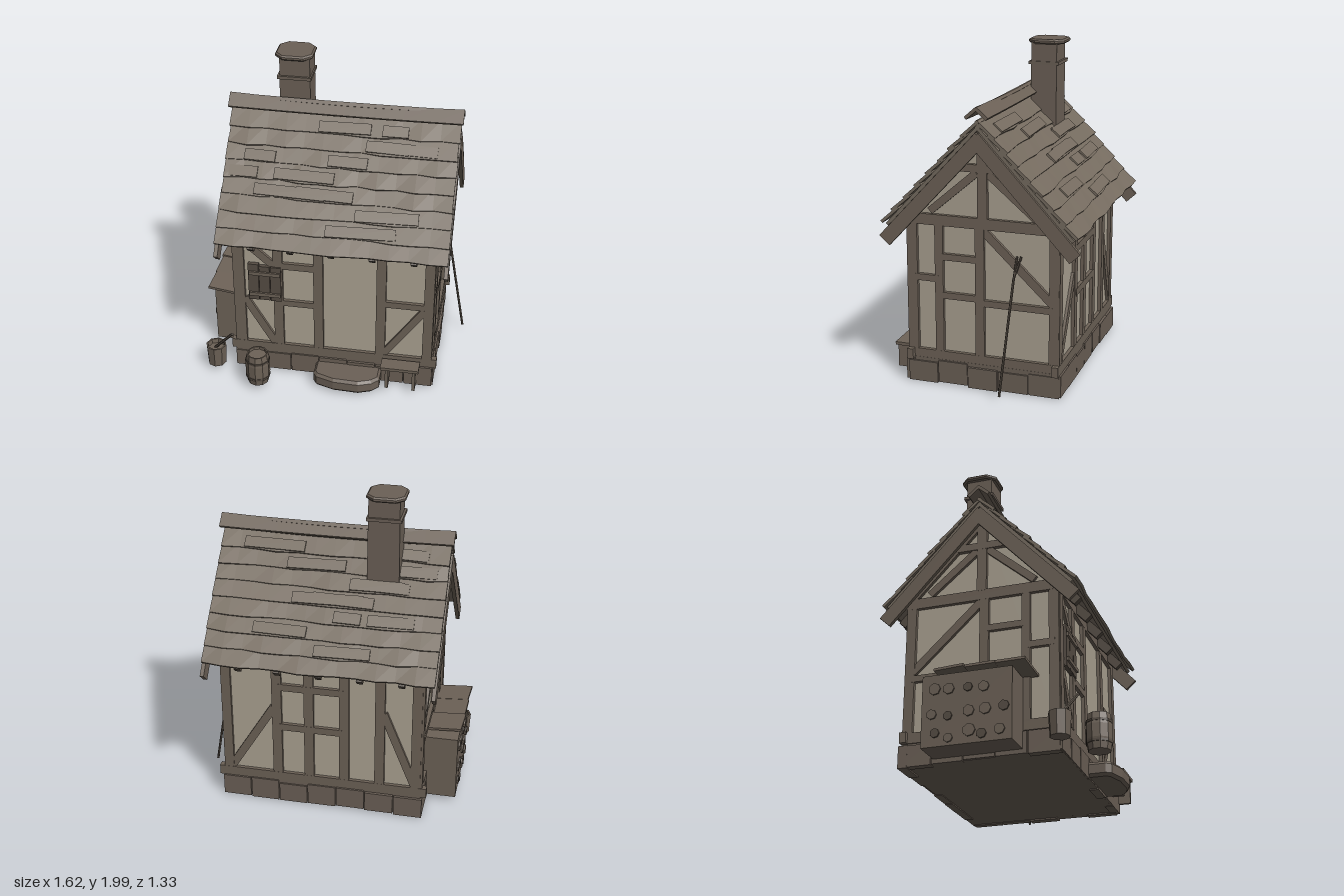
import * as THREE from 'three';

const mat = (name, color) => Object.assign(new THREE.MeshStandardMaterial({ color }), { name });
const plaster = mat('plaster', 0xaba292);
const timber = mat('timber', 0x6d6257);
const roofWood = mat('roofWood', 0x766c60);
const stone = mat('stone', 0x6b6056);
const darkWood = mat('darkWood', 0x564d44);

let seed = 7;
const rnd = () => (seed = (seed * 16807) % 2147483647) / 2147483647;
const jit = (a) => (rnd() - 0.5) * 2 * a;
const V = (x, y, z) => new THREE.Vector3(x, y, z);

// faceted normals for the low-poly look
function facet(g) {
  const n = g.index ? g.toNonIndexed() : g;
  n.computeVertexNormals();
  return n;
}
function add(parent, name, geo, material, x = 0, y = 0, z = 0) {
  const m = new THREE.Mesh(facet(geo), material);
  m.name = name;
  m.position.set(x, y, z);
  parent.add(m);
  return m;
}
// box given by its limits
function box(parent, name, material, x0, x1, y0, y1, z0, z1) {
  return add(parent, name, new THREE.BoxGeometry(x1 - x0, y1 - y0, z1 - z0), material,
    (x0 + x1) / 2, (y0 + y1) / 2, (z0 + z1) / 2);
}
// thin round rod between two points
function rod(parent, name, material, a, b, r) {
  const d = b.clone().sub(a);
  const m = add(parent, name, new THREE.CylinderGeometry(r, r, d.length(), 6), material);
  m.position.copy(a).addScaledVector(d, 0.5);
  m.quaternion.setFromUnitVectors(V(0, 1, 0), d.normalize());
}
// timbers on a wall plane: [u1, v1, u2, v2, width]
function frame(parent, name, angle, pos, list, s = 1) {
  const g = new THREE.Group();
  g.name = name;
  g.rotation.y = angle;
  g.position.copy(pos);
  list.forEach(([u1, v1, u2, v2, w], i) => {
    const du = (u2 - u1) * s, dv = v2 - v1;
    const depth = Math.abs(du) > 0.01 && Math.abs(dv) > 0.01 ? 0.03 : 0.04;
    const m = add(g, 'beam', new THREE.BoxGeometry(Math.hypot(du, dv), w, depth), timber,
      s * (u1 + u2) / 2, (v1 + v2) / 2, i * 0.0002);
    m.rotation.z = Math.atan2(dv, du);
  });
  parent.add(g);
}

// one roof slope: local z runs down from the ridge, y points outwards
function slope(parent, back) {
  const g = new THREE.Group();
  g.name = back ? 'backRoof' : 'frontRoof';
  g.position.set(0.0225, 1.66, -0.055);
  g.rotation.order = 'YXZ';
  g.rotation.set(0.825, back ? Math.PI : 0, 0);
  box(g, 'roofDeck', roofWood, -0.695, 0.695, -0.04, -0.02, 0.02, 0.87);
  const rows = 8;
  for (let i = 0; i < rows; i++) {
    const geo = new THREE.BoxGeometry(1.4 + jit(0.008), 0.018, 0.145, 12, 1, 1);
    const p = geo.attributes.position;
    const wave = Array.from({ length: 13 }, () => jit(0.008));
    for (let k = 0; k < p.count; k++) {
      const x = p.getX(k);
      const w = wave[Math.max(0, Math.min(12, Math.round((x / 1.4 + 0.5) * 12)))];
      if (p.getZ(k) > 0) p.setZ(k, p.getZ(k) + w);
      p.setY(k, p.getY(k) - 0.009 * (1 - (x / 0.7) ** 2) + (p.getZ(k) > 0 ? w * 0.5 : 0));
    }
    const m = add(g, 'shingleRow', geo, roofWood, 0, -0.004, 0.07 + i * 0.1055);
    m.rotation.x = -0.1;
  }
  // loose thin boards between the rows
  for (let i = 0; i < 12; i++) {
    const len = 0.15 + rnd() * 0.3;
    const m = add(g, 'looseShingle', new THREE.BoxGeometry(len, 0.012, 0.07), roofWood,
      jit(0.68 - len / 2), 0.006, 0.1 + (i % 7) * 0.1055);
    m.rotation.set(-0.1, jit(0.03), 0);
  }
  for (const s of [-1, 1]) {
    box(g, 'bargeboard', timber, s * 0.695 - 0.012, s * 0.695 + 0.012, -0.127, -0.042, 0.06, 0.95);
  }
  for (const x of [-0.49, -0.25, 0, 0.25, 0.5]) {
    box(g, 'rafterTail', darkWood, x - 0.018, x + 0.018, -0.095, -0.04, 0.55, 0.885);
  }
  parent.add(g);
  // ridge cap board, sagging in the middle
  const cap = new THREE.BoxGeometry(1.43, 0.02, 0.09, 8, 1, 1);
  const cp = cap.attributes.position;
  for (let k = 0; k < cp.count; k++) cp.setY(k, cp.getY(k) - 0.014 * (1 - (cp.getX(k) / 0.715) ** 2));
  const c = add(parent, 'ridgeCap', cap, timber, 0.0225, 1.7, -0.055 + (back ? -0.031 : 0.031));
  c.rotation.order = 'YXZ';
  c.rotation.set(0.72, back ? Math.PI : 0, 0);
}

export function createModel() {
  const model = new THREE.Group();
  model.name = 'cottage';

  // stone foundation with uneven blocks
  box(model, 'foundation', stone, -0.6, 0.65, 0.015, 0.16, -0.53, 0.42);
  const course = (n, place) => {
    for (let i = 0; i < n; i++) place(i / n, (i + 0.97) / n, 0.006 + rnd() * 0.012, 0.005 + rnd() * 0.015, 0.125 + rnd() * 0.03);
  };
  for (const [z0, s] of [[0.42, 1], [-0.53, -1]]) {
    course(7, (a, b, d, y0, y1) => box(model, 'stoneBlock', stone, -0.61 + a * 1.27, -0.61 + b * 1.27, y0, y1,
      Math.min(z0 - s * 0.04, z0 + s * d), Math.max(z0 - s * 0.04, z0 + s * d)));
  }
  for (const [x0, s] of [[0.65, 1], [-0.6, -1]]) {
    course(5, (a, b, d, y0, y1) => box(model, 'stoneBlock', stone, Math.min(x0 - s * 0.04, x0 + s * d), Math.max(x0 - s * 0.04, x0 + s * d),
      y0, y1, -0.53 + a * 0.95, -0.53 + b * 0.95));
  }

  // plaster body with gables
  const prof = new THREE.Shape([[-0.4, 0.15], [0.51, 0.15], [0.51, 1.05], [0.055, 1.55], [-0.4, 1.05]]
    .map(([u, v]) => new THREE.Vector2(u, v)));
  const body = add(model, 'plasterWalls', new THREE.ExtrudeGeometry(prof, { depth: 1.21, bevelEnabled: false }), plaster, -0.585);
  body.rotation.y = Math.PI / 2;

  // timber framing
  const posts = (...xs) => xs.map((x) => [x, 0.2, x, 1.03, 0.06]);
  frame(model, 'frontFrame', 0, V(0, 0, 0.4), [
    ...posts(-0.565, -0.323, -0.07, 0.322, 0.617),
    [-0.635, 0.182, 0.68, 0.182, 0.064], [-0.59, 1.02, 0.64, 1.02, 0.06],
    [-0.3, 0.815, -0.1, 0.815, 0.045], [-0.3, 0.538, -0.1, 0.538, 0.04], [0.35, 0.605, 0.59, 0.605, 0.042],
    [-0.54, 0.98, -0.34, 0.8, 0.05], [-0.54, 0.55, -0.34, 0.2, 0.05], [0.345, 0.22, 0.6, 0.59, 0.045],
  ]);
  frame(model, 'backFrame', Math.PI, V(0, 0, -0.51), [
    ...posts(-0.617, -0.3, -0.1, 0.12, 0.34, 0.565),
    [-0.68, 0.182, 0.635, 0.182, 0.064], [-0.64, 1.02, 0.59, 1.02, 0.06],
    [-0.3, 0.83, 0.12, 0.83, 0.045], [-0.3, 0.55, 0.12, 0.55, 0.045],
    [-0.6, 0.22, -0.32, 0.68, 0.05], [0.36, 0.72, 0.56, 0.22, 0.05],
  ]);
  // gable walls: u measured along z
  const gable = [
    [0.385, 0.2, 0.385, 1.03, 0.06], [0.217, 0.2, 0.217, 1.03, 0.052], [-0.038, 0.2, -0.038, 1.03, 0.056], [-0.495, 0.2, -0.495, 1.03, 0.06],
    [0.42, 0.182, -0.53, 0.182, 0.064], [0.42, 1.033, -0.53, 1.033, 0.066],
    [0.39, 0.67, 0.22, 0.67, 0.04], [0.2, 0.81, -0.02, 0.81, 0.04], [0.2, 0.57, -0.02, 0.57, 0.04], [-0.05, 0.547, -0.49, 0.547, 0.04],
    [-0.05, 1.0, -0.48, 0.59, 0.05],
    [-0.057, 1.06, -0.057, 1.52, 0.06], [0.1, 1.362, -0.21, 1.362, 0.046],
    [-0.02, 1.335, 0.27, 1.085, 0.045], [-0.09, 1.335, -0.385, 1.085, 0.045],
    [0.43, 1.03, -0.055, 1.545, 0.06], [-0.54, 1.03, -0.055, 1.545, 0.06],
  ];
  frame(model, 'rightGableFrame', Math.PI / 2, V(0.628, 0, 0), gable, -1);
  frame(model, 'leftGableFrame', -Math.PI / 2, V(-0.588, 0, 0), gable, 1);

  // roof and chimney
  slope(model, false);
  slope(model, true);
  const taper = new THREE.BoxGeometry(0.185, 0.65, 0.165);
  const tp = taper.attributes.position;
  for (let k = 0; k < tp.count; k++) if (tp.getY(k) < 0) tp.setX(k, tp.getX(k) * 1.06);
  add(model, 'chimney', taper, stone, -0.295, 1.655, -0.163);
  box(model, 'chimneyBand', stone, -0.402, -0.193, 1.842, 1.862, -0.26, -0.066);
  const oct = (r, c) => new THREE.Shape([[c, r], [-c, r], [-r, c], [-r, -c], [-c, -r], [c, -r], [r, -c], [r, c]]
    .map(([a, b]) => new THREE.Vector2(a, b)));
  const cap = add(model, 'chimneyCap', new THREE.ExtrudeGeometry(oct(0.106, 0.062),
    { depth: 0.012, bevelThickness: 0.009, bevelSize: 0.009, bevelSegments: 1 }), stone, -0.303, 1.979, -0.17);
  cap.rotation.x = -Math.PI / 2;

  // window shutter
  for (let i = 0; i < 3; i++) {
    const x = -0.508 + i * 0.07;
    box(model, 'shutterPlank', darkWood, x, x + 0.066, 0.55 + jit(0.008), 0.81 + jit(0.008), 0.405, 0.43);
  }
  for (const y of [0.6, 0.755]) box(model, 'shutterBrace', timber, -0.5, -0.305, y - 0.012, y + 0.012, 0.43, 0.442);

  // door step
  const step = new THREE.Shape([[-0.08, -0.4], [0.33, -0.4], [0.33, -0.53], [0.29, -0.57], [0.21, -0.6], [0.05, -0.595], [-0.06, -0.56], [-0.08, -0.53]]
    .map(([a, b]) => new THREE.Vector2(a, b)).reverse());
  const st = add(model, 'doorStep', new THREE.ExtrudeGeometry(step,
    { depth: 0.055, bevelThickness: 0.018, bevelSize: 0.015, bevelOffset: -0.01, bevelSegments: 1 }), stone, 0, 0.042, 0);
  st.rotation.x = -Math.PI / 2;

  // bench
  box(model, 'benchSeat', timber, 0.34, 0.58, 0.185, 0.205, 0.445, 0.54);
  for (const x of [0.38, 0.55]) box(model, 'benchLeg', timber, x - 0.01, x + 0.01, 0.04, 0.19, 0.455, 0.53);

  // barrel
  const lathe = (pts, n) => new THREE.LatheGeometry(pts.map(([r, y]) => new THREE.Vector2(r, y)), n);
  add(model, 'barrel', lathe([[0, 0.045], [0.066, 0.045], [0.077, 0.11], [0.077, 0.19], [0.066, 0.26], [0.058, 0.26], [0.058, 0.24], [0, 0.24]], 10), timber, -0.43, 0, 0.588);
  for (const y of [0.085, 0.205]) {
    add(model, 'barrelHoop', new THREE.CylinderGeometry(0.078, 0.078, 0.014, 10, 1), darkWood, -0.43, y + 0.007, 0.588);
  }

  // bucket with a stick
  add(model, 'bucket', lathe([[0, 0.04], [0.058, 0.04], [0.066, 0.18], [0.056, 0.18], [0.053, 0.15], [0, 0.15]], 8), timber, -0.735, 0, 0.45);
  rod(model, 'bucketStick', darkWood, V(-0.75, 0.14, 0.44), V(-0.605, 0.33, 0.52), 0.009);

  // wood store on the left wall
  box(model, 'woodStore', timber, -0.795, -0.59, 0.04, 0.465, -0.33, 0.2);
  for (let i = 0; i < 14; i++) {
    const r = 0.026 + rnd() * 0.012;
    const log = add(model, 'logEnd', new THREE.CylinderGeometry(r, r, 0.02, 7), i % 3 ? timber : darkWood,
      -0.795, 0.1 + Math.floor(i / 5) * 0.13 + jit(0.02), -0.26 + (i % 5) * 0.1 + jit(0.015));
    log.rotation.z = Math.PI / 2;
  }
  for (let i = 0; i < 3; i++) {
    const lid = add(model, 'storeLidPlank', new THREE.BoxGeometry(0.22, 0.016, 0.18), timber, -0.7, 0.488 + jit(0.004), -0.165 + i * 0.18);
    lid.rotation.set(jit(0.04), jit(0.07), -0.1);
  }

  // leaning fork
  rod(model, 'forkHandle', darkWood, V(0.8, 0.04, -0.21), V(0.672, 0.73, -0.257), 0.008);
  rod(model, 'forkProng', darkWood, V(0.672, 0.73, -0.257), V(0.647, 0.86, -0.27), 0.007);
  rod(model, 'forkProng', darkWood, V(0.672, 0.73, -0.257), V(0.647, 0.86, -0.295), 0.007);

  return model;
}
